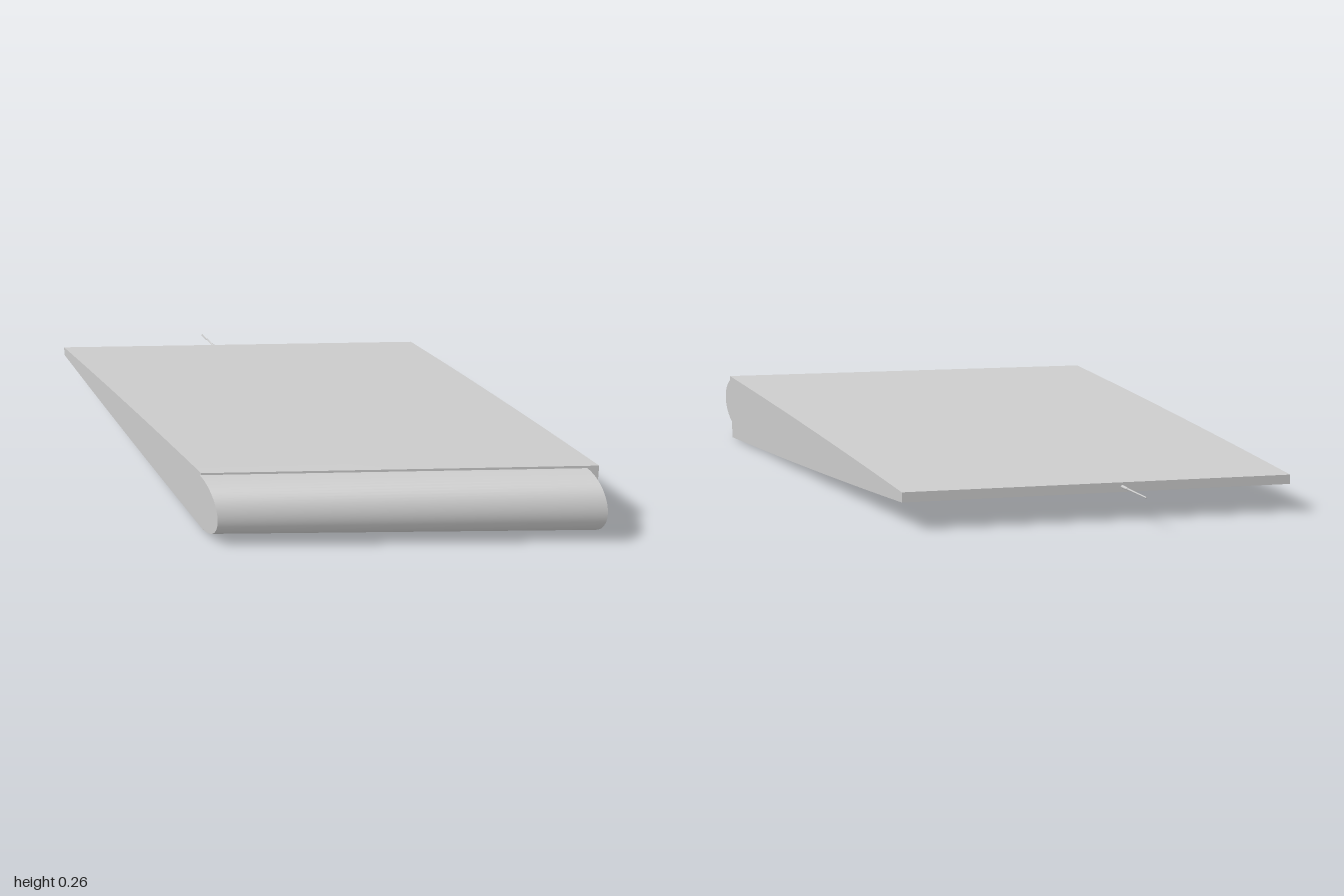
import * as THREE from 'three';
import { toCreasedNormals } from 'three/addons/utils/BufferGeometryUtils.js';

const MID_Y = 0.13;
const SWEEP = 0.515; // sideways shift per unit of z

// Extrudes a side profile (points are [z, height from mid line]) across the span,
// sweeping it sideways with z and shrinking it slightly toward the right end.
function sweptSection(points, xLeft, xRight, scaleLeft) {
  const shape = new THREE.Shape(points.map(([z, h]) => new THREE.Vector2(-z, h)));
  const geo = new THREE.ExtrudeGeometry(shape, { depth: 1, bevelEnabled: false });
  const pos = geo.attributes.position;
  for (let i = 0; i < pos.count; i++) {
    const t = pos.getZ(i);
    const scale = THREE.MathUtils.lerp(scaleLeft, 1, t);
    const z0 = -pos.getX(i);
    const z = 0.565 + (z0 - 0.565) * THREE.MathUtils.lerp(0.992, 1, t);
    const x = THREE.MathUtils.lerp(xLeft, xRight, t) + SWEEP * (z - 0.565);
    pos.setXYZ(i, x, MID_Y + pos.getY(i) * scale, z);
  }
  return toCreasedNormals(geo, 0.5);
}

export function createModel() {
  const group = new THREE.Group();
  const grey = new THREE.MeshStandardMaterial({ color: 0xcccccc });
  const add = (name, geo) => {
    const mesh = new THREE.Mesh(geo, grey);
    mesh.name = name;
    group.add(mesh);
    return mesh;
  };

  // Tapered panel with gently convex upper and lower faces
  const upper = [];
  const n = 10;
  for (let i = 0; i <= n; i++) {
    const t = i / n;
    upper.push([0.565 - 1.135 * t, THREE.MathUtils.lerp(0.128, 0.019, t) + 0.026 * t * (1 - t)]);
  }
  const lower = upper.map(([z, h]) => [z, -h]).reverse();
  add('wingPanel', sweptSection([...upper, ...lower], -0.42, 0.978, 0.93));

  // Half-round leading edge, a little slimmer and shorter than the panel
  const nose = [];
  for (let i = 0; i <= 32; i++) {
    const a = -Math.PI / 2 + (Math.PI * i) / 32;
    nose.push([0.565 + 0.121 * Math.cos(a), 0.118 * Math.sin(a)]);
  }
  add('leadingEdge', sweptSection(nose, -0.425, 0.937, 0.94));

  // Thin wick trailing from the rear edge, with a thicker root
  const base = new THREE.Vector3(-0.387, MID_Y + 0.002, -0.56);
  const tip = new THREE.Vector3(-0.451, MID_Y + 0.001, -0.686);
  const rod = (name, from, to, r0, r1) => {
    const dir = to.clone().sub(from);
    const mesh = add(name, new THREE.CylinderGeometry(r1, r0, dir.length(), 12));
    mesh.position.copy(from).addScaledVector(dir, 0.5);
    mesh.quaternion.setFromUnitVectors(new THREE.Vector3(0, 1, 0), dir.normalize());
  };
  rod('wickRoot', base, base.clone().lerp(tip, 0.25), 0.006, 0.005);
  rod('wick', base, tip, 0.004, 0.0025);

  return group;
}
